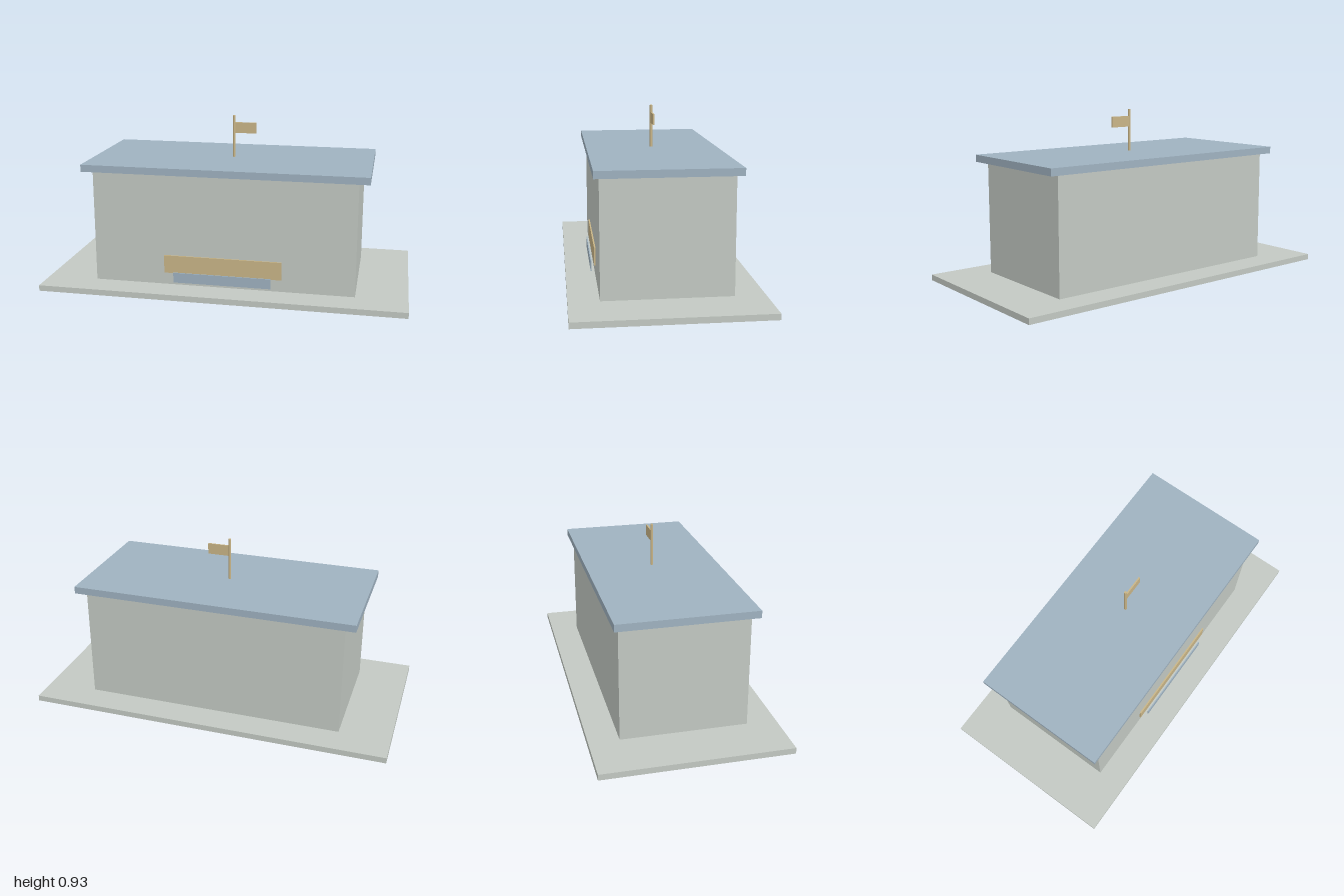
import * as THREE from 'three';

export function createModel() {
  const model = new THREE.Group();

  const paint = (name, color) => {
    const material = new THREE.MeshStandardMaterial({ color });
    material.name = name;
    return material;
  };
  const stone = paint('pale stone', 0xc3c9c3);
  const blue = paint('slate blue', 0x9fb2c0);
  const tan = paint('tan', 0xc9b587);

  const add = (name, geometry, material, x, y, z) => {
    const mesh = new THREE.Mesh(geometry, material);
    mesh.name = name;
    mesh.position.set(x, y, z);
    model.add(mesh);
  };
  // Box given by its lower and upper limits on each axis
  const block = (name, material, [x0, x1], [y0, y1], [z0, z1]) =>
    add(name, new THREE.BoxGeometry(x1 - x0, y1 - y0, z1 - z0), material,
      (x0 + x1) / 2, (y0 + y1) / 2, (z0 + z1) / 2);

  // Building: ground slab, walls and overhanging flat roof
  block('groundSlab', stone, [-1, 1], [0, 0.032], [-0.5, 0.5]);
  block('walls', stone, [-0.72, 0.72], [0.032, 0.655], [-0.339, 0.339]);
  block('roof', blue, [-0.778, 0.778], [0.655, 0.694], [-0.368, 0.368]);

  // Front panel and the thin plate standing just ahead of it
  block('frontPanel', tan, [-0.325, 0.325], [0.1, 0.2], [0.339, 0.347]);
  block('frontPlate', blue, [-0.27, 0.27], [0.052, 0.108], [0.358, 0.364]);

  // Flagpole with its footing sunk below the roof
  add('poleFooting', new THREE.CylinderGeometry(0.016, 0.016, 0.04, 12), blue, 0, 0.66, 0);
  add('flagpole', new THREE.CylinderGeometry(0.0075, 0.0075, 0.25, 12), tan, 0, 0.805, 0);
  block('flag', tan, [0.004, 0.125], [0.831, 0.891], [-0.004, 0.004]);

  return model;
}
